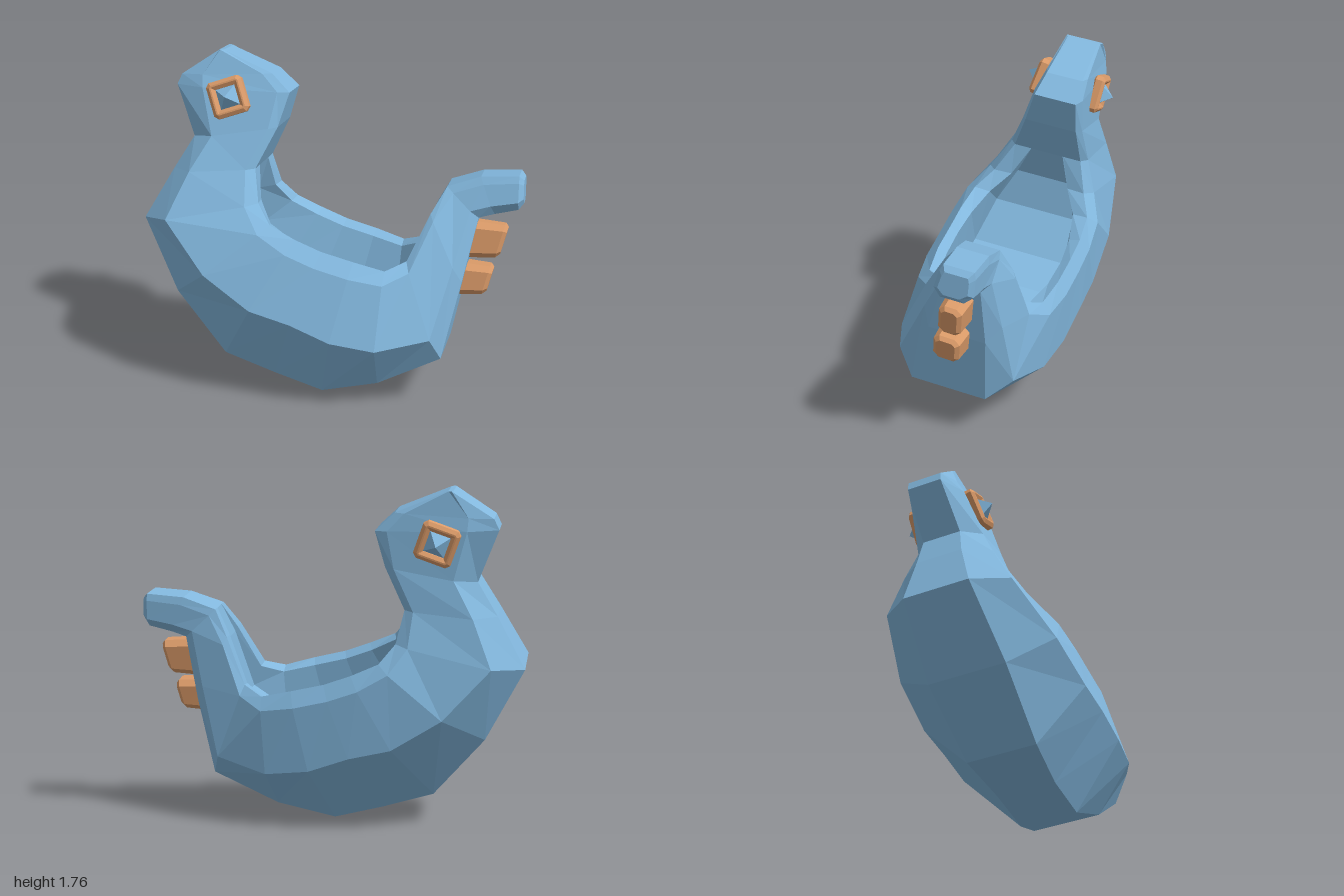
import * as THREE from 'three';

const blue = new THREE.MeshStandardMaterial({ color: 0x82b7dd, flatShading: true });
blue.name = 'sky blue';
const orange = new THREE.MeshStandardMaterial({ color: 0xdb9b69, flatShading: true });
orange.name = 'soft orange';

// Cross-sections from the head, round the belly, up to the tail:
// [outer x, outer y, inner x, inner y, keel half width, side half width]
const SECTIONS = [
  [-0.64, 1.75, -0.615, 1.75, 0.09, 0.1],
  [-0.84, 1.615, -0.35, 1.645, 0.09, 0.125],
  [-0.865, 1.56, -0.25, 1.555, 0.09, 0.145],
  [-0.76, 1.3, -0.3, 1.38, 0.1, 0.18],
  [-0.86, 1.13, -0.4, 1.17, 0.12, 0.24],
  [-1, 0.87, -0.36, 1.01, 0.17, 0.33],
  [-0.8, 0.5, -0.28, 0.92, 0.2, 0.415],
  [-0.53, 0.185, -0.14, 0.86, 0.18, 0.435],
  [-0.26, 0.09, 0, 0.81, 0.15, 0.435],
  [0, 0.02, 0.17, 0.77, 0.15, 0.43],
  [0.3, 0.1, 0.33, 0.73, 0.18, 0.4],
  [0.63, 0.27, 0.43, 0.77, 0.2, 0.31],
  [0.71, 0.66, 0.53, 1, 0.15, 0.205],
  [0.77, 0.98, 0.6, 1.13, 0.08, 0.115],
  [0.85, 1, 0.77, 1.19, 0.06, 0.105],
  [0.97, 1.03, 0.965, 1.205, 0.06, 0.1],
  [0.995, 1.06, 0.99, 1.18, 0.04, 0.075],
];

// One closed ring; the whole body leans a little towards the back.
// The hollow swells from the neck (section 4) and fades out at the tail.
function ring([kx, ky, ix, iy, keel, side], i) {
  const u = THREE.MathUtils.clamp((i - 4) / 8.5, 0, 1);
  const depth = 0.44 * Math.sin(Math.PI * u);
  const widest = Math.min(0.75, 0.5 + 0.03 * (i - 8) ** 2);
  const hollow = side * (0.38 + 0.65 * depth);
  const half = [
    [keel, 1], [side, widest], [side * 0.9, i > 12 ? 0.2 : 0.1],
    [side * 0.77, 0], [hollow, depth * 0.1], [hollow * 0.93, depth],
  ];
  const all = [...half, ...half.map(([w, t]) => [-w, t]).reverse()];
  return all.map(([w, t]) => {
    const y = iy + (ky - iy) * t;
    return new THREE.Vector3(ix + (kx - ix) * t, y + 0.12 * w, 0.115 - 0.213 * y + w);
  });
}

function bodyGeometry() {
  const rings = SECTIONS.map(ring);
  const n = rings[0].length;
  const pos = [];
  const tri = (...pts) => pts.forEach((p) => pos.push(p.x, p.y, p.z));
  for (let i = 0; i < rings.length - 1; i++) {
    for (let j = 0; j < n; j++) {
      const k = (j + 1) % n;
      const a = rings[i][j], b = rings[i + 1][j], c = rings[i + 1][k], e = rings[i][k];
      tri(a, b, c);
      tri(a, c, e);
    }
  }
  // crown and tail tip caps
  for (const [r, flip] of [[rings[0], false], [rings[rings.length - 1], true]]) {
    const mid = r.reduce((s, p) => s.add(p), new THREE.Vector3()).divideScalar(n);
    for (let j = 0; j < n; j++) {
      const p = r[j], q = r[(j + 1) % n];
      if (flip) tri(mid, q, p);
      else tri(mid, p, q);
    }
  }
  const g = new THREE.BufferGeometry();
  g.setAttribute('position', new THREE.Float32BufferAttribute(pos, 3));
  g.computeVertexNormals();
  return g;
}

// Rectangle outline with cut corners, given half sizes
function cutRect(PathType, a, b, cut) {
  const pts = [];
  for (const [sx, sy] of [[1, -1], [1, 1], [-1, 1], [-1, -1]]) {
    const side = new THREE.Vector2(sx * a, sy * (b - cut));
    const end = new THREE.Vector2(sx * (a - cut), sy * b);
    pts.push(...(sx * sy < 0 ? [end, side] : [side, end]));
  }
  return new PathType(pts);
}

// Square eye frame with a pyramid in the middle
function makeEye(name) {
  const eye = new THREE.Group();
  eye.name = name;
  const shape = cutRect(THREE.Shape, 0.08, 0.08, 0.01);
  shape.holes.push(cutRect(THREE.Path, 0.072, 0.072, 0.005));
  const frame = new THREE.Mesh(new THREE.ExtrudeGeometry(shape, {
    depth: 0.035, bevelEnabled: true, bevelSize: 0.018, bevelThickness: 0.014, bevelSegments: 1,
  }), orange);
  frame.name = 'eyeFrame';
  const cone = new THREE.ConeGeometry(0.085, 0.08, 4);
  cone.rotateY(Math.PI / 4);
  cone.rotateX(Math.PI / 2);
  const pupil = new THREE.Mesh(cone, blue);
  pupil.name = 'eyePyramid';
  pupil.position.z = 0.058;
  eye.add(frame, pupil);
  return eye;
}

// Chunky slanted spine under the tail, pointing along +x
function makeSpine(name, length, h, d) {
  const bevel = 0.02;
  const g = new THREE.ExtrudeGeometry(cutRect(THREE.Shape, d / 2 - bevel, h / 2 - bevel, 0.02), {
    depth: length - 2 * bevel, bevelEnabled: true, bevelSize: bevel, bevelThickness: bevel, bevelSegments: 1,
  });
  g.rotateY(Math.PI / 2);
  const p = g.attributes.position;
  for (let i = 0; i < p.count; i++) {
    const x = p.getX(i), y = p.getY(i);
    const taper = 1.02 - 0.14 * (x / length);
    p.setXYZ(i, x + 0.22 * y, y * taper, p.getZ(i) * taper);
  }
  g.computeVertexNormals();
  const spine = new THREE.Mesh(g, orange);
  spine.name = name;
  spine.rotation.x = -0.15;
  return spine;
}

export function createModel() {
  const model = new THREE.Group();
  model.name = 'birdBoat';

  const body = new THREE.Mesh(bodyGeometry(), blue);
  body.name = 'body';
  model.add(body);

  const frontEye = makeEye('frontEye');
  frontEye.position.set(-0.565, 1.535, -0.066);
  frontEye.rotation.set(-0.3, 0, 0.35);
  const backEye = makeEye('backEye');
  backEye.position.set(-0.565, 1.485, -0.345);
  backEye.rotation.set(-0.17, Math.PI, -0.35);
  model.add(frontEye, backEye);

  const upper = makeSpine('upperTailSpine', 0.2, 0.195, 0.13);
  upper.position.set(0.725, 0.855, -0.06);
  const lower = makeSpine('lowerTailSpine', 0.18, 0.17, 0.15);
  lower.position.set(0.685, 0.65, -0.015);
  model.add(upper, lower);

  return model;
}
